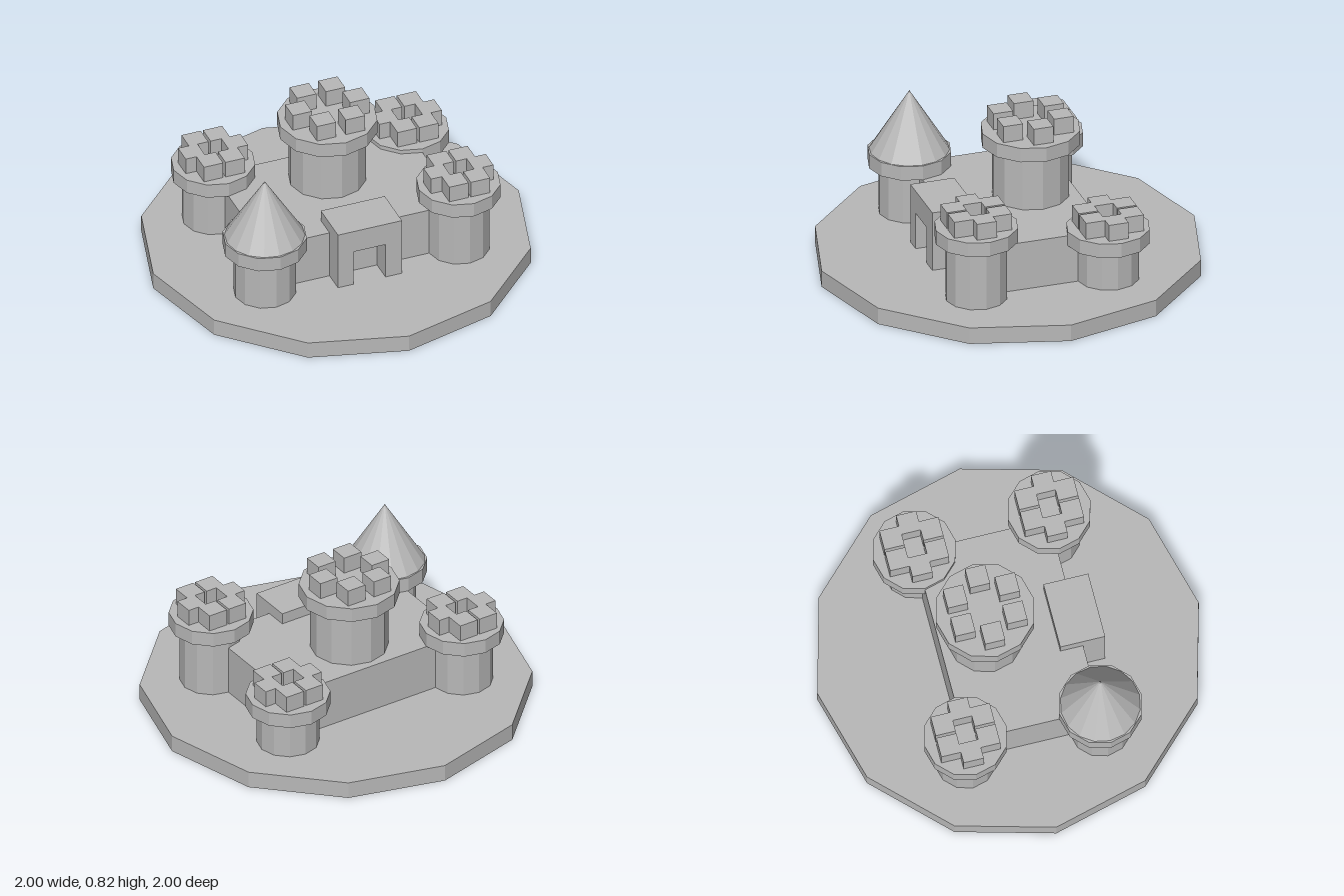
import * as THREE from 'three';

const stone = new THREE.MeshStandardMaterial({ color: 0xb8b8b8, flatShading: true });
stone.name = 'stone';

const GROUND = 0.09;
const SIDES = 12;

function addMesh(parent, name, geometry, x, y, z) {
  const mesh = new THREE.Mesh(geometry, stone);
  mesh.name = name;
  mesh.position.set(x, y, z);
  parent.add(mesh);
  return mesh;
}

// Upright prism standing on height y0
function addDrum(parent, name, radius, y0, y1) {
  return addMesh(parent, name, new THREE.CylinderGeometry(radius, radius, y1 - y0, SIDES), 0, (y0 + y1) / 2, 0);
}

// Round tower: shaft, overhanging cap, then either battlements or a pointed roof
function makeTower({ name, x, z, radius, capRadius, capBottom, ring, roof }) {
  const tower = new THREE.Group();
  tower.name = name;
  tower.position.set(x, 0, z);
  const capTop = capBottom + 0.078;
  addDrum(tower, 'towerShaft', radius, GROUND, capBottom);
  addDrum(tower, 'towerCap', capRadius, capBottom, capTop);
  if (roof) {
    const height = 0.765 - capTop;
    addMesh(tower, 'towerRoof', new THREE.ConeGeometry(0.205, height, 16), 0, capTop + height / 2, 0);
  } else {
    for (let i = 0; i < 6; i++) {
      const a = (i * Math.PI) / 3;
      addMesh(tower, 'merlon', new THREE.BoxGeometry(0.105, 0.09, 0.105),
        Math.cos(a) * ring, capTop + 0.045, Math.sin(a) * ring);
    }
  }
  return tower;
}

export function createModel() {
  const castle = new THREE.Group();
  castle.name = 'castle';

  // Ground slab
  addDrum(castle, 'base', 1, 0, GROUND);

  // Solid walled block between the corner towers
  addMesh(castle, 'walls', new THREE.BoxGeometry(1.06, 0.265, 0.705), 0, GROUND + 0.1325, -0.003);

  // Gatehouse with a square doorway
  const gate = new THREE.Shape([
    [-0.175, 0], [-0.09, 0], [-0.09, 0.2], [0.085, 0.2],
    [0.085, 0], [0.175, 0], [0.175, 0.325], [-0.175, 0.325],
  ].map(([x, y]) => new THREE.Vector2(x, y)));
  addMesh(castle, 'gatehouse',
    new THREE.ExtrudeGeometry(gate, { depth: 0.235, bevelEnabled: false }), 0, GROUND, 0.23);

  // Central keep and four corner towers
  castle.add(makeTower({
    name: 'keep', x: 0, z: -0.12, radius: 0.2, capRadius: 0.257, capBottom: 0.652, ring: 0.157,
  }));
  const corner = { radius: 0.16, capRadius: 0.216, ring: 0.118 };
  castle.add(
    makeTower({ ...corner, name: 'frontRightTower', x: -0.53, z: 0.35, capBottom: 0.357, roof: true }),
    makeTower({ ...corner, name: 'frontLeftTower', x: 0.53, z: 0.35, capBottom: 0.416 }),
    makeTower({ ...corner, name: 'backRightTower', x: -0.53, z: -0.357, capBottom: 0.357 }),
    makeTower({ ...corner, name: 'backLeftTower', x: 0.53, z: -0.357, capBottom: 0.299 }),
  );
  return castle;
}
